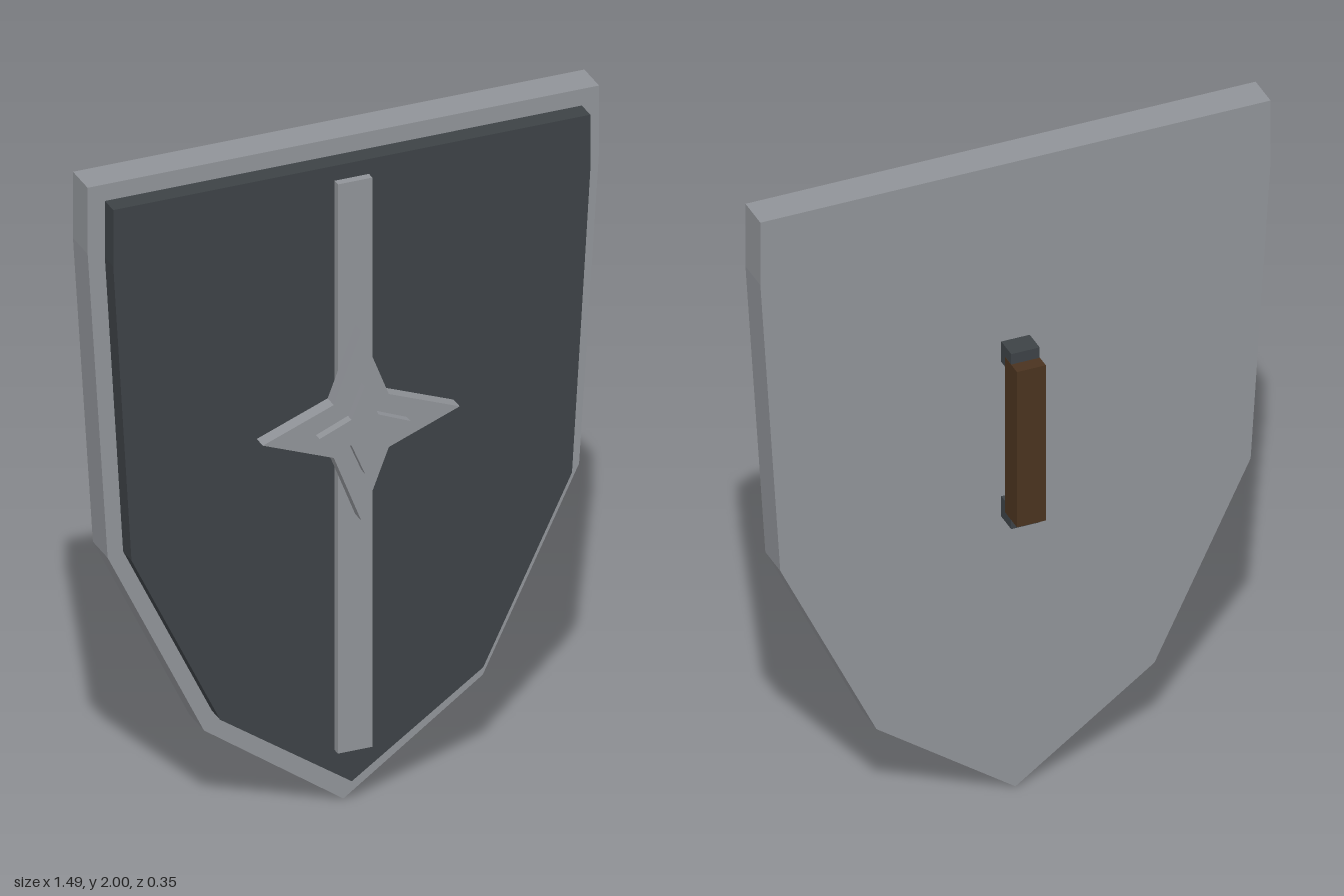
import * as THREE from 'three';

const mat = (name, color) => {
  const m = new THREE.MeshStandardMaterial({ color });
  m.name = name;
  return m;
};

// Flat plate between two depths, from a closed outline
function plate(name, points, z0, z1, material) {
  const shape = new THREE.Shape(points.map(([x, y]) => new THREE.Vector2(x, y)));
  const geo = new THREE.ExtrudeGeometry(shape, { depth: z1 - z0, bevelEnabled: false });
  const mesh = new THREE.Mesh(geo, material);
  mesh.name = name;
  mesh.position.z = z0;
  return mesh;
}

// Box given by half width, y range and z range
function block(name, hw, y0, y1, z0, z1, material) {
  const mesh = new THREE.Mesh(new THREE.BoxGeometry(hw * 2, y1 - y0, z1 - z0), material);
  mesh.name = name;
  mesh.position.set(0, (y0 + y1) / 2, (z0 + z1) / 2);
  return mesh;
}

// Mirror the right half of an outline, listed bottom tip to top corner
const mirrored = half => [...half, ...half.slice(1).reverse().map(([x, y]) => [-x, y])];

// Four-pointed star outline
function star(cy, tip, notch) {
  const points = [];
  for (let i = 0; i < 8; i++) {
    const a = i * Math.PI / 4;
    const r = i % 2 ? notch * Math.SQRT2 : tip;
    points.push([r * Math.cos(a), cy + r * Math.sin(a)]);
  }
  return points;
}

export function createModel() {
  const steel = mat('steel', 0x909398);
  const dark = mat('darkIron', 0x3d4246);
  const wood = mat('wood', 0x4a331f);
  const group = new THREE.Group();
  group.name = 'shield';

  // Shield body and raised front panel
  const rim = mirrored([[0, 0], [0.405, 0.29], [0.685, 0.87], [0.743, 1.8], [0.743, 2]]);
  const panel = mirrored([[0, 0.08], [0.382, 0.345], [0.64, 0.88], [0.693, 1.78], [0.693, 1.95]]);
  group.add(plate('shieldBody', rim, -0.07, 0.03, steel));
  group.add(plate('frontPanel', panel, 0.03, 0.087, dark));

  // Central rib and stacked star emblem
  group.add(block('centerRib', 0.05, 0.185, 1.905, 0.087, 0.11, steel));
  group.add(plate('largeStar', star(1.185, 0.286, 0.08), 0.11, 0.152, steel));
  group.add(plate('smallStar', star(1.185, 0.132, 0.039), 0.152, 0.177, steel));

  // Rear grip with its two brackets
  group.add(block('grip', 0.042, 0.905, 1.402, -0.177, -0.097, wood));
  group.add(block('upperBracket', 0.0415, 1.37, 1.435, -0.137, -0.07, dark));
  group.add(block('lowerBracket', 0.0415, 0.875, 0.94, -0.137, -0.07, dark));
  return group;
}
